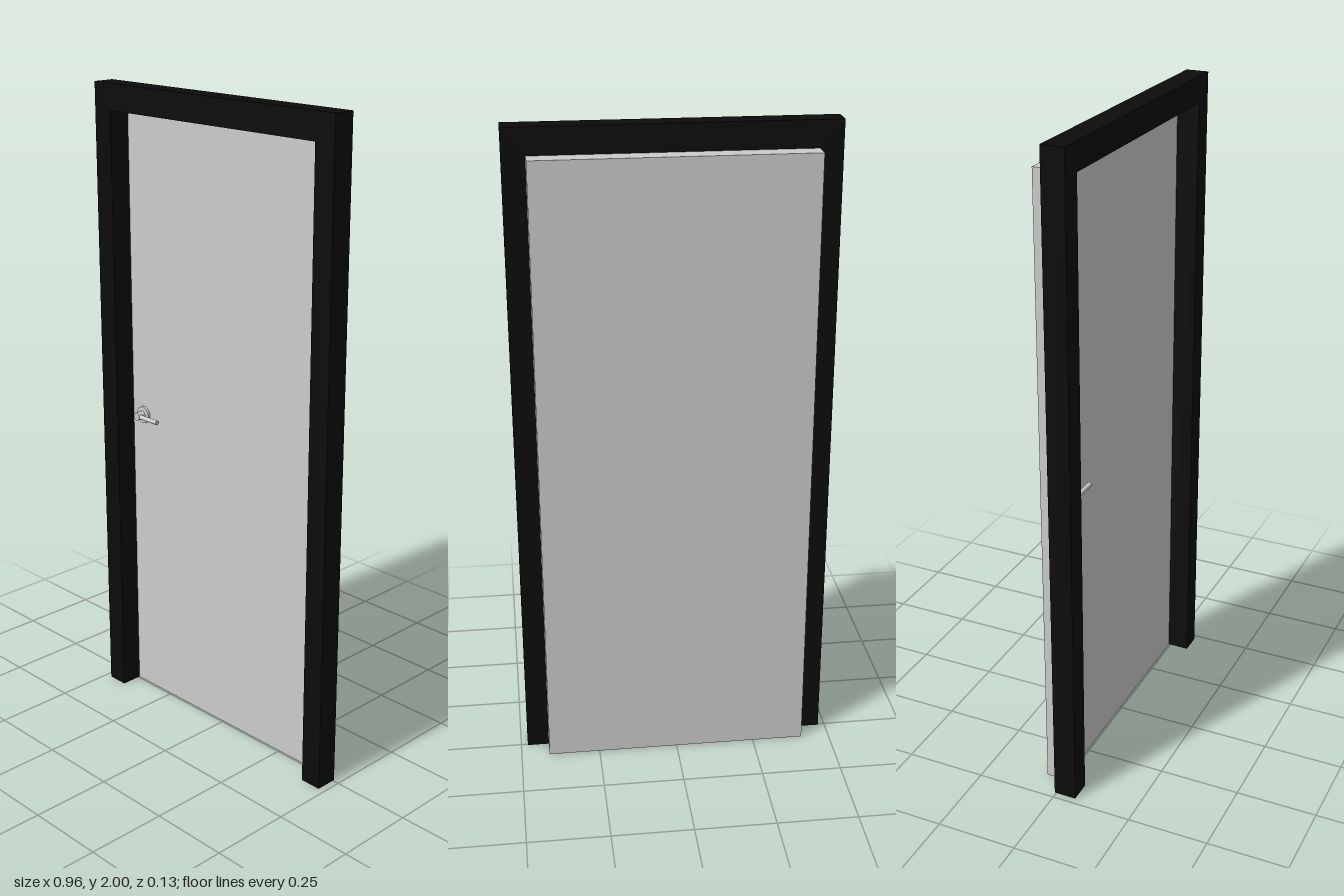
import * as THREE from 'three';

const grey = new THREE.MeshStandardMaterial({ color: 0xcccccc });
const black = new THREE.MeshStandardMaterial({ color: 0x0c0c0c });

const HALF_W = 0.479, HALF_DOOR = 0.411, DOOR_H = 1.92;
const FRONT = 0.064, BACK = -0.064, SEAM = -0.005;

function part(parent, name, geometry, material, x = 0, y = 0, z = 0) {
  const mesh = new THREE.Mesh(geometry, material);
  mesh.name = name;
  mesh.position.set(x, y, z);
  parent.add(mesh);
  return mesh;
}

// Cylinder whose axis runs along z, starting at z = 0
function disc(radius, depth) {
  return new THREE.CylinderGeometry(radius, radius, depth, 32).rotateX(Math.PI / 2).translate(0, 0, depth / 2);
}

export function createModel() {
  const door = new THREE.Group();
  door.name = 'door';

  // Frame: two jambs and a head in one outline, open at the floor
  const outline = new THREE.Shape([
    [-HALF_W, 0], [-HALF_DOOR, 0], [-HALF_DOOR, DOOR_H], [HALF_DOOR, DOOR_H],
    [HALF_DOOR, 0], [HALF_W, 0], [HALF_W, 2], [-HALF_W, 2],
  ].map(([x, y]) => new THREE.Vector2(x, y)));
  const frame = new THREE.ExtrudeGeometry(outline, { depth: FRONT - SEAM, bevelEnabled: false });
  part(door, 'frame', frame, black, 0, 0, SEAM);

  // Door leaf, set behind the frame
  const leaf = new THREE.BoxGeometry(HALF_DOOR * 2, DOOR_H, SEAM - BACK);
  part(door, 'leaf', leaf, grey, 0, DOOR_H / 2, (SEAM + BACK) / 2);

  // Lever handle on the front
  const handle = new THREE.Group();
  handle.name = 'handle';
  handle.position.set(-0.36, 0.963, SEAM);
  part(handle, 'rose', disc(0.027, 0.008), grey);
  part(handle, 'spindle', disc(0.013, 0.034), grey);
  const lever = new THREE.CylinderGeometry(0.007, 0.007, 0.09, 20).rotateZ(Math.PI / 2);
  part(handle, 'lever', lever, grey, 0.045, 0, 0.027);
  door.add(handle);

  return door;
}
